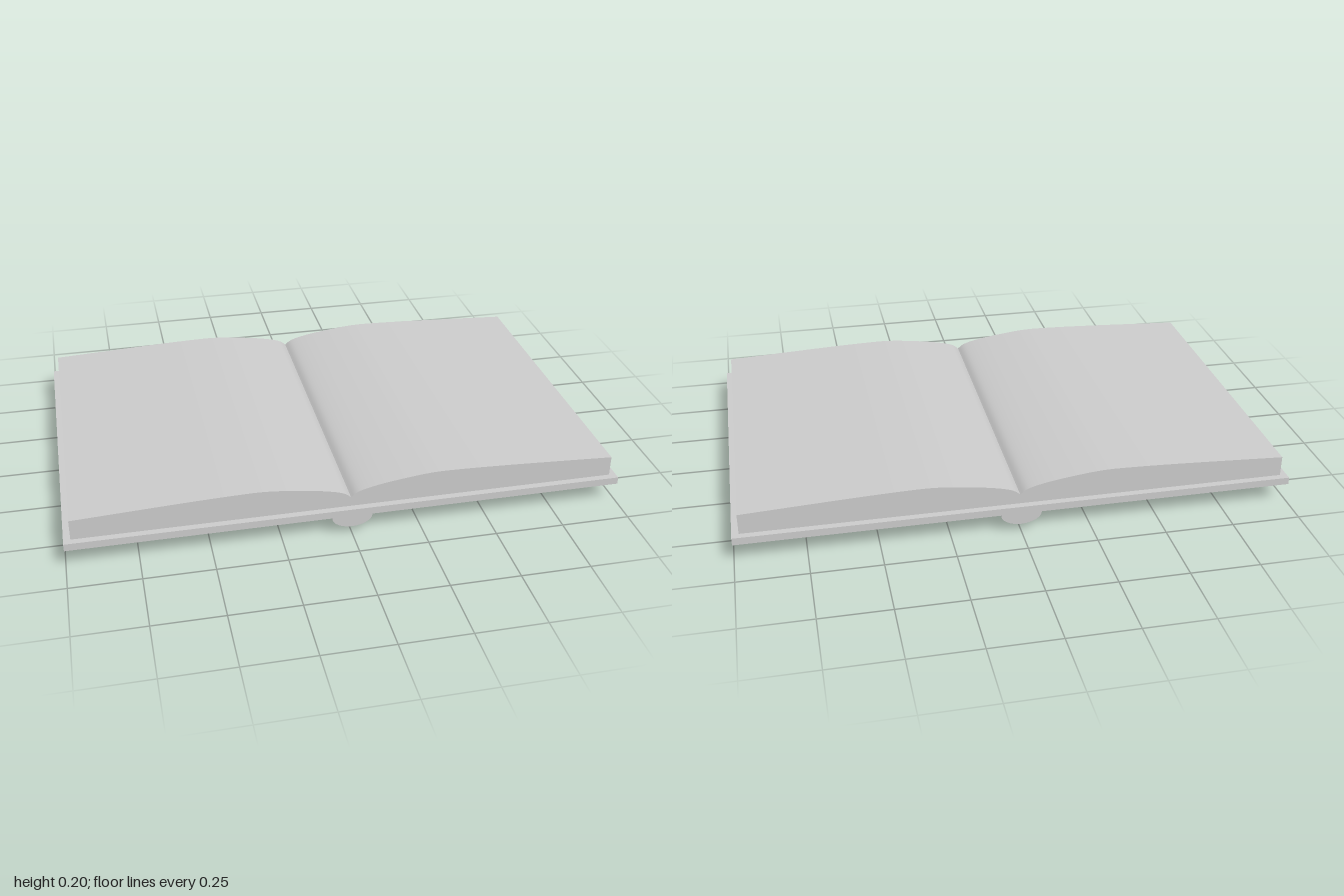
import * as THREE from 'three';
import { toCreasedNormals } from 'three/addons/utils/BufferGeometryUtils.js';

const COVER_BOTTOM = 0.073, COVER_TOP = 0.1;

export function createModel() {
  const book = new THREE.Group();
  book.name = 'openBook';
  const grey = new THREE.MeshStandardMaterial({ color: 0xcccccc });

  const add = (name, geometry, x = 0, y = 0, z = 0) => {
    const mesh = new THREE.Mesh(geometry, grey);
    mesh.name = name;
    mesh.position.set(x, y, z);
    book.add(mesh);
    return mesh;
  };

  // Cover board
  add('cover', new THREE.BoxGeometry(2, COVER_TOP - COVER_BOTTOM, 1.28),
    0, (COVER_TOP + COVER_BOTTOM) / 2, 0);

  // Page block: arched profile, mirrored about the gutter
  const arch = [[0.03, 0.157], [0.1, 0.175], [0.2, 0.19], [0.3, 0.2], [0.4, 0.2], [0.6, 0.193], [0.975, 0.175]]
    .map(([x, y]) => new THREE.Vector2(x, y));
  const mirrored = arch.map((p) => new THREE.Vector2(-p.x, p.y));
  const pageShape = new THREE.Shape();
  pageShape.moveTo(-0.975, COVER_TOP);
  pageShape.lineTo(0.975, COVER_TOP);
  pageShape.lineTo(0.975, 0.175);
  pageShape.splineThru([...arch].reverse().slice(1).concat(new THREE.Vector2(0, 0.136)));
  pageShape.splineThru(mirrored);
  pageShape.closePath();
  const pages = new THREE.ExtrudeGeometry(pageShape, { depth: 1.23, bevelEnabled: false, curveSegments: 5 });
  pages.translate(0, 0, -0.615);
  add('pages', toCreasedNormals(pages, 0.45));

  // Thin bevelled panels on the outside of both boards
  for (const [name, x] of [['leftPanel', 0.532], ['rightPanel', -0.532]]) {
    const w = 0.428, d = 0.6;
    const rect = new THREE.Shape([[-w, -d], [w, -d], [w, d], [-w, d]].map(([a, b]) => new THREE.Vector2(a, b)));
    const panel = new THREE.ExtrudeGeometry(rect, {
      depth: 0.01, bevelThickness: 0.006, bevelSize: 0.012, bevelSegments: 1,
    });
    panel.rotateX(Math.PI / 2);
    add(name, panel, x, 0.083, 0);
  }

  // Rounded spine with raised bands
  const halfRound = (rx, ry, length) => new THREE.CylinderGeometry(1, 1, length, 32, 1, false, -Math.PI / 2, Math.PI)
    .rotateX(Math.PI / 2).scale(rx, ry, 1);
  add('spine', halfRound(0.073, 0.043, 1.28), 0, COVER_BOTTOM, 0);
  for (const z of [-0.57, -0.19, 0.19, 0.57]) {
    add('spineBand', halfRound(0.079, 0.048, 0.04), 0, COVER_BOTTOM, z);
  }

  // Domed bosses on the front board
  for (const [z, r, h] of [[0, 0.16, COVER_BOTTOM], [0.36, 0.12, 0.053], [-0.36, 0.12, 0.053]]) {
    const dome = new THREE.SphereGeometry(1, 48, 16, 0, Math.PI * 2, Math.PI / 2, Math.PI / 2).scale(r, h, r);
    add('boss', dome, -0.51, COVER_BOTTOM, z);
  }

  return book;
}
